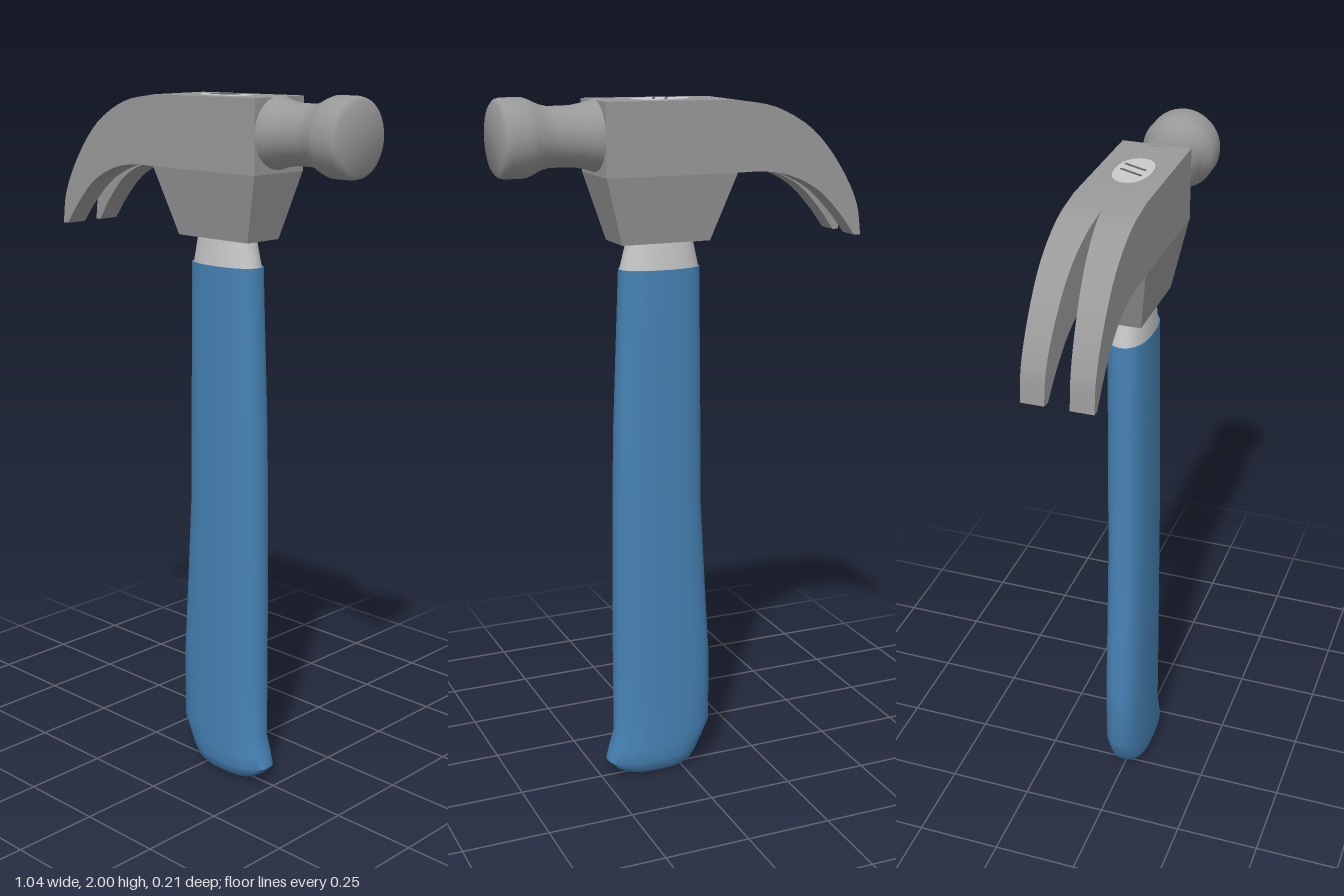
import * as THREE from 'three';
import { toCreasedNormals } from 'three/addons/utils/BufferGeometryUtils.js';

const paint = (color) => new THREE.MeshStandardMaterial({ color });
const steel = paint(0x999999);
const wood = paint(0xcccccc);
const rubber = paint(0x4682b4);
const dark = paint(0x666666);

// Skin a list of equal-length rings and close both ends with fans.
// Rings run counter-clockwise when seen from the direction of travel.
function loft(rings, crease) {
  const n = rings[0].length;
  const index = [];
  for (let r = 0; r < rings.length - 1; r++) {
    for (let i = 0; i < n; i++) {
      const a = r * n + i, b = r * n + (i + 1) % n;
      index.push(a, b, b + n, a, b + n, a + n);
    }
  }
  const last = (rings.length - 1) * n;
  for (let i = 1; i < n - 1; i++) {
    index.push(0, i + 1, i, last, last + i, last + i + 1);
  }
  const geo = new THREE.BufferGeometry();
  geo.setAttribute('position', new THREE.Float32BufferAttribute(rings.flat(2), 3));
  geo.setIndex(index);
  return toCreasedNormals(geo, crease);
}

// Horizontal superellipse ring between xMin and xMax, half depth d
function oval([y, xMin, xMax, d], power) {
  const ring = [];
  const bend = (v) => Math.sign(v) * Math.pow(Math.abs(v), 2 / power);
  for (let i = 0; i < 32; i++) {
    const a = (i / 32) * Math.PI * 2;
    ring.push([(xMin + xMax) / 2 + bend(Math.sin(a)) * (xMax - xMin) / 2, y, bend(Math.cos(a)) * d]);
  }
  return ring;
}

export function createModel() {
  const group = new THREE.Group();
  const add = (name, geo, mat) => {
    const mesh = new THREE.Mesh(geo, mat);
    mesh.name = name;
    group.add(mesh);
    return mesh;
  };

  // Grip: [y, xMin, xMax, half depth]
  const grip = [
    [0, 0.01, 0.15, 0.025], [0.008, -0.015, 0.175, 0.042], [0.025, -0.035, 0.205, 0.056],
    [0.05, -0.052, 0.23, 0.062], [0.09, -0.072, 0.22, 0.062], [0.14, -0.095, 0.205, 0.062],
    [0.35, -0.095, 0.205, 0.062], [0.6, -0.08, 0.203, 0.061], [0.85, -0.066, 0.2, 0.06],
    [1.07, -0.065, 0.195, 0.06], [1.53, -0.06, 0.175, 0.058],
  ];
  add('grip', loft(grip.map((s) => oval(s, 2.6)), 0.9), rubber);

  // Wooden shaft, running through the head to the top of the eye
  const shaft = [[1.5, -0.059, 0.174, 0.057], [1.53, -0.058, 0.173, 0.057],
    [1.61, -0.04, 0.152, 0.053], [1.988, -0.033, 0.137, 0.05]];
  add('shaft', loft(shaft.map((s) => oval(s, 2.2)), 0.9), wood);

  // Wedge slits in the shaft end
  for (const x of [0.035, 0.072]) {
    const slit = add('wedgeSlit', new THREE.BoxGeometry(0.006, 0.006, 0.072), dark);
    slit.position.set(x, 1.987, -0.002);
    slit.rotation.y = -0.43;
  }

  // Head and claw: upper and lower edges, sampled along the claw
  const curve = (pts) => new THREE.CatmullRomCurve3(pts.map(([x, y]) => new THREE.Vector3(x, y, 0)));
  const upper = curve([[-0.525, 1.6], [-0.51, 1.69], [-0.452, 1.8], [-0.365, 1.9], [-0.25, 1.963], [-0.13, 1.985]]);
  const lower = curve([[-0.505, 1.6], [-0.455, 1.665], [-0.385, 1.733], [-0.3, 1.775], [-0.22, 1.79], [-0.13, 1.79]]);
  const edges = [];
  for (let i = 0; i <= 20; i++) edges.push([upper.getPoint(i / 20), lower.getPoint(i / 20)]);
  edges.push([new THREE.Vector3(0.245, 1.988, 0), new THREE.Vector3(0.245, 1.79, 0)]);

  // Each half leaves a V-shaped slot that closes at x = -0.205
  const gap = (x) => Math.max(0, (-0.205 - x) * 0.103);
  for (const side of [1, -1]) {
    const rings = edges.map(([t, b]) => {
      const z = (p) => [side * gap(p.x), side * 0.096].sort((m, n) => m - n);
      const [t0, t1] = z(t), [b0, b1] = z(b);
      return [[b.x, b.y, b0], [t.x, t.y, t0], [t.x, t.y, t1], [b.x, b.y, b1]];
    });
    add(side > 0 ? 'frontClawHalf' : 'backClawHalf', loft(rings, 0.6), steel);
  }

  // Cheek block tapering down to the handle
  const rect = (y, x0, x1, d) => [[x0, y, d], [x1, y, d], [x1, y, -d], [x0, y, -d]];
  add('cheek', loft([rect(1.605, -0.07, 0.19, 0.062), rect(1.792, -0.138, 0.245, 0.096)], 0.3), steel);

  // Striking poll, turned about the x axis
  const profile = [[0, 0.23], [0.096, 0.23], [0.096, 0.245], [0.087, 0.275], [0.081, 0.31], [0.08, 0.375],
    [0.086, 0.4], [0.1, 0.43], [0.105, 0.445], [0.105, 0.5], [0.102, 0.512], [0.092, 0.52], [0, 0.52]];
  const poll = new THREE.LatheGeometry(profile.map(([r, x]) => new THREE.Vector2(r, x)), 40);
  poll.rotateZ(-Math.PI / 2);
  add('poll', toCreasedNormals(poll, 0.7), steel).position.y = 1.895;

  return group;
}
